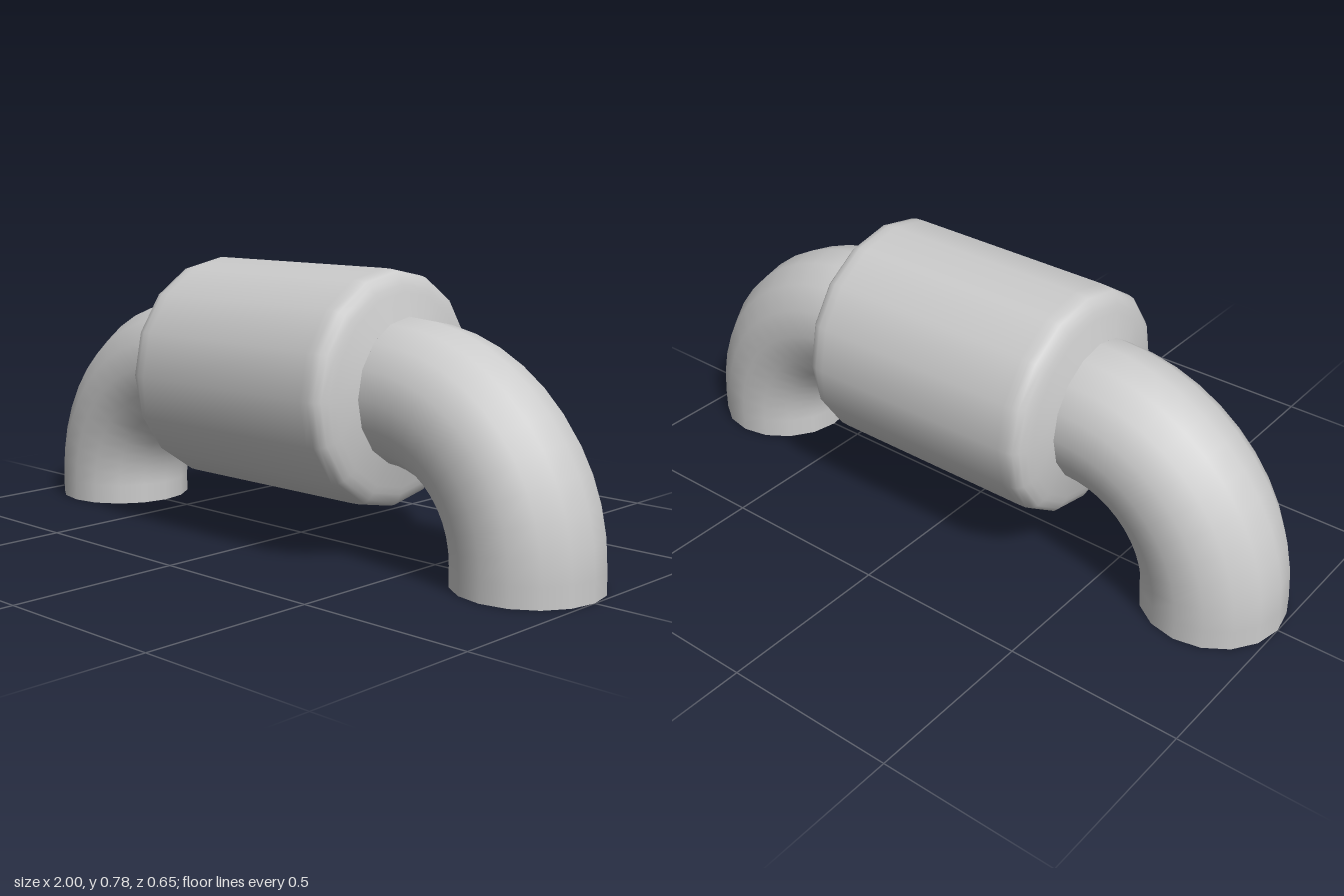
import * as THREE from 'three';

const AXIS_Y = 0.457;   // height of the grip axis
const PIPE_R = 0.2;
const BEND_R = 0.4;
const SIDES = 16;

// Short straight foot followed by a quarter bend, measured by length
class ElbowPath extends THREE.Curve {
  constructor(side) {
    super();
    this.side = side;
  }
  getPoint(t, target = new THREE.Vector3()) {
    const foot = AXIS_Y - BEND_R;
    const d = t * (foot + BEND_R * Math.PI / 2);
    if (d <= foot) return target.set(this.side * 0.8, d, 0);
    const a = (d - foot) / BEND_R;
    return target.set(this.side * (0.4 + BEND_R * Math.cos(a)), foot + BEND_R * Math.sin(a), 0);
  }
}

export function createModel() {
  const group = new THREE.Group();
  const material = new THREE.MeshStandardMaterial({ color: 0xcccccc, side: THREE.DoubleSide });

  // Thick grip: slightly conical ends with rounded rims
  const end = [[0.2, 0.4], [0.265, 0.382], [0.285, 0.376], [0.305, 0.367], [0.318, 0.354], [0.323, 0.335], [0.324, 0.31]];
  const profile = [
    ...end.map(([r, h]) => new THREE.Vector2(r, -h)),
    ...end.slice().reverse().map(([r, h]) => new THREE.Vector2(r, h)),
  ];
  const grip = new THREE.Mesh(new THREE.LatheGeometry(profile, SIDES), material);
  grip.name = 'grip';
  grip.rotation.z = Math.PI / 2;
  grip.position.y = AXIS_Y;
  group.add(grip);

  // Open-ended elbow pipes on both sides
  for (const side of [-1, 1]) {
    const elbow = new THREE.Mesh(new THREE.TubeGeometry(new ElbowPath(side), 12, PIPE_R, SIDES, false), material);
    elbow.name = side > 0 ? 'leftElbow' : 'rightElbow';
    group.add(elbow);
  }

  return group;
}
